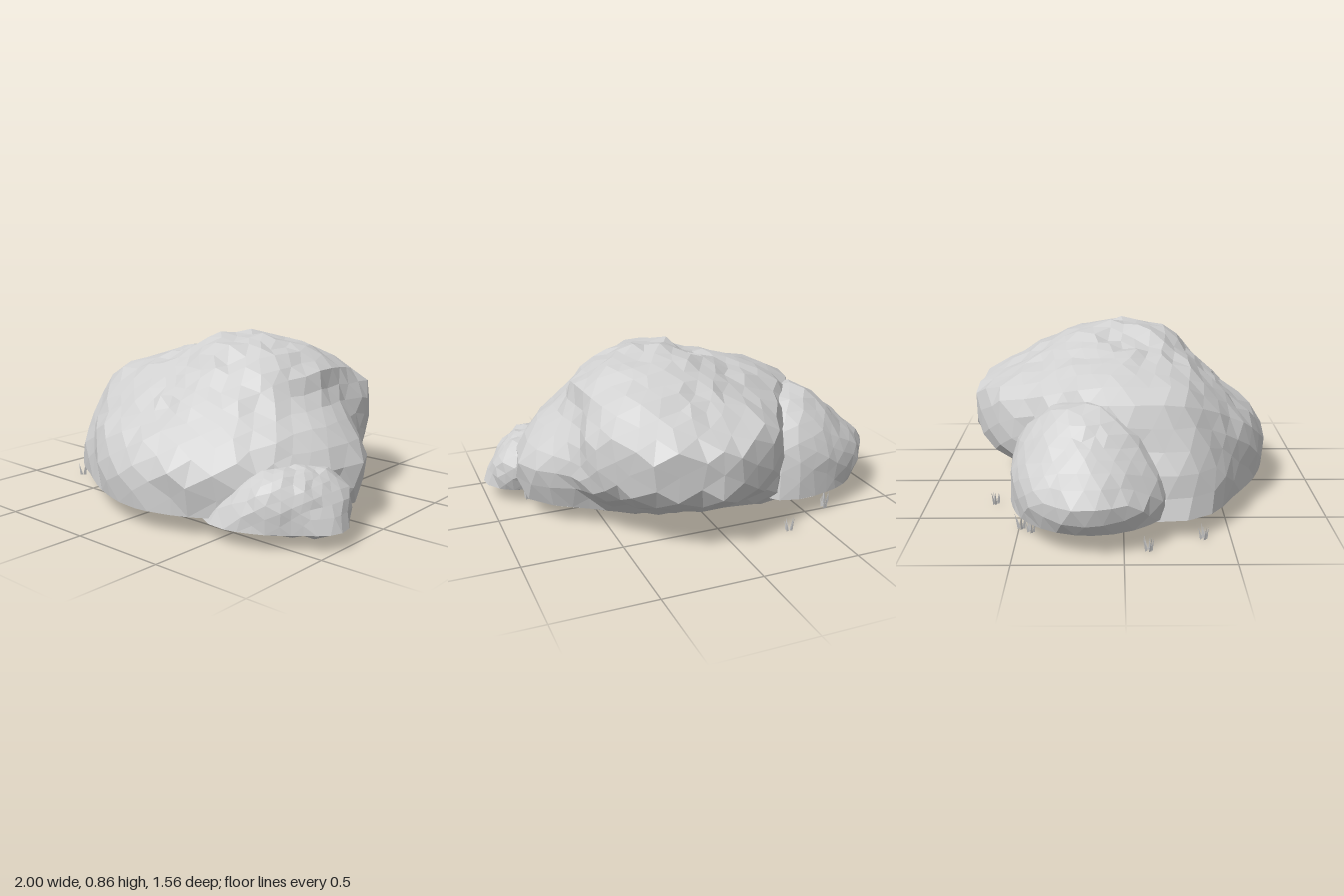
import * as THREE from 'three';
import { mergeVertices } from 'three/addons/utils/BufferGeometryUtils.js';

const stone = new THREE.MeshStandardMaterial({ color: 0xd0d0d0, flatShading: true });
stone.name = 'pale grey';

function seeded(seed) {
  return () => {
    seed = (seed * 16807) % 2147483647;
    return seed / 2147483647;
  };
}

// Smooth periodic interpolation through the radii of one ring (t in turns)
function radiusAt(radii, t) {
  const n = radii.length;
  const f = (((t % 1) + 1) % 1) * n;
  const i = Math.floor(f), u = f - i;
  const p = (k) => radii[(i + k + n) % n];
  return p(0) + 0.5 * u * (p(1) - p(-1) + u * (2 * p(-1) - 5 * p(0) + 4 * p(1) - p(2)
    + u * (3 * (p(0) - p(1)) + p(2) - p(-1))));
}

// Faceted rock: a ball of triangles pushed out, along rays from its centre, onto the
// surface through stacked rings. Radii start at +x and turn towards +z; the second
// ring is the rim where the flat underside begins.
function makeRock(name, { centre: [cx, cy, cz], rings, top, detail, rough, seed }) {
  const rnd = seeded(seed);
  const ball = new THREE.IcosahedronGeometry(1, detail);
  ball.deleteAttribute('uv');
  ball.deleteAttribute('normal');
  const geometry = mergeVertices(ball, 1e-4);
  const pos = geometry.attributes.position;
  const v = new THREE.Vector3();
  for (let i = 0; i < pos.count; i++) {
    v.fromBufferAttribute(pos, i);
    v.x += (rnd() - 0.5) * 0.4 / (detail + 1);
    v.z += (rnd() - 0.5) * 0.4 / (detail + 1);
    v.normalize();
    const turn = Math.atan2(v.z, v.x);
    const profile = rings.map(([y, radii]) =>
      new THREE.Vector2(radiusAt(radii, turn / (Math.PI * 2)), y - cy));
    profile.unshift(new THREE.Vector2(0, rings[0][0] - cy));
    profile.push(new THREE.Vector2(0, top - cy));
    const angles = profile.map((p) => Math.atan2(p.y, p.x));

    // Vertices close to the rim slide onto it to keep the edge crisp
    let tilt = Math.asin(v.y);
    const rim = angles[2];
    if (Math.abs(tilt - rim) < 0.6 / (detail + 1)) tilt = rim;

    let k = 0;
    while (k < profile.length - 2 && angles[k + 1] < tilt) k++;
    const ray = new THREE.Vector2(Math.cos(tilt), Math.sin(tilt));
    const edge = profile[k + 1].clone().sub(profile[k]);
    let reach = profile[k].cross(edge) / ray.cross(edge);
    if (tilt > rim) reach += (rnd() - 0.6) * rough;
    pos.setXYZ(i,
      cx + reach * ray.x * Math.cos(turn),
      cy + reach * ray.y,
      cz + reach * ray.x * Math.sin(turn));
  }
  const faceted = geometry.toNonIndexed();
  faceted.computeVertexNormals();
  const mesh = new THREE.Mesh(faceted, stone);
  mesh.name = name;
  return mesh;
}

// Tuft of thin leaning blades standing on the ground
function makeTuft(x, z, seed) {
  const rnd = seeded(seed);
  const tuft = new THREE.Group();
  tuft.name = 'grassTuft';
  for (let i = 0; i < 5; i++) {
    const h = 0.05 + rnd() * 0.03;
    const blade = new THREE.Mesh(new THREE.ConeGeometry(0.008, h, 3).translate(0, h / 2, 0), stone);
    const angle = (i / 5) * Math.PI * 2 + rnd();
    blade.name = 'grassBlade';
    blade.position.set(Math.cos(angle) * 0.012, 0, Math.sin(angle) * 0.012);
    blade.rotation.set(Math.sin(angle) * 0.22, 0, -Math.cos(angle) * 0.22);
    tuft.add(blade);
  }
  tuft.position.set(x, 0, z);
  return tuft;
}

export function createModel() {
  const model = new THREE.Group();
  model.name = 'boulderCluster';

  // Main boulder: steep front, overhanging back, broad sloping top
  const foot = [.74, .74, .73, .74, .76, .75, .78, .90, .84, .74, .68, .52, .45, .44, .47, .55];
  model.add(makeRock('mainBoulder', {
    centre: [0.1, 0.3, 0], top: 0.86, detail: 7, rough: 0.03, seed: 41,
    rings: [
      [.06, foot.map((r) => r * 0.9)],
      [.095, foot],
      [.28, [.79, .77, .76, .77, .78, .77, .78, .87, .80, .70, .67, .76, .78, .76, .68, .65]],
      [.42, [.70, .71, .69, .68, .67, .69, .72, .80, .76, .67, .67, .76, .78, .78, .70, .63]],
      [.54, [.55, .57, .56, .54, .52, .57, .65, .75, .74, .65, .66, .75, .78, .78, .70, .57]],
      [.63, [.50, .48, .46, .43, .42, .47, .56, .68, .70, .60, .56, .58, .59, .64, .62, .53]],
      [.70, [.47, .44, .40, .37, .36, .38, .43, .51, .52, .46, .43, .43, .46, .53, .56, .50]],
      [.79, [.36, .33, .30, .28, .27, .24, .18, .13, .12, .14, .19, .25, .29, .34, .38, .38]],
      [.845, [.18, .18, .18, .18, .17, .13, .10, .07, .07, .08, .11, .12, .13, .14, .16, .18]],
    ],
  }));

  // Rock leaning on the boulder at -x
  model.add(makeRock('leaningRock', {
    centre: [-0.6, 0.25, -0.18], top: 0.61, detail: 4, rough: 0.015, seed: 87,
    rings: [
      [.08, [.30, .30, .36, .32, .28, .30, .33, .42]],
      [.105, [.32, .32, .40, .36, .33, .32, .35, .44]],
      [.21, [.32, .32, .41, .40, .415, .35, .35, .43]],
      [.29, [.32, .32, .38, .35, .39, .335, .345, .42]],
      [.38, [.32, .30, .33, .28, .28, .27, .31, .40]],
      [.47, [.32, .28, .28, .20, .17, .19, .25, .34]],
      [.57, [.28, .20, .15, .09, .06, .08, .13, .22]],
    ],
  }));

  // Low rock at the front, on +x
  model.add(makeRock('lowRock', {
    centre: [0.72, 0.15, 0.35], top: 0.35, detail: 4, rough: 0.012, seed: 19,
    rings: [
      [.055, [.24, .20, .21, .34, .36, .22, .15, .19]],
      [.08, [.285, .22, .27, .40, .40, .26, .19, .25]],
      [.17, [.25, .22, .275, .34, .32, .25, .23, .28]],
      [.25, [.20, .20, .25, .26, .24, .22, .24, .26]],
      [.32, [.12, .13, .17, .16, .12, .14, .18, .17]],
    ],
  }));

  // Grass tufts around the base
  [[-0.86, 0.11], [-0.74, 0.37], [-0.66, -0.44], [-0.62, -0.49], [-0.32, -0.65], [0.8, 0.21]]
    .forEach(([x, z], i) => model.add(makeTuft(x, z, 101 + i * 37)));

  return model;
}
